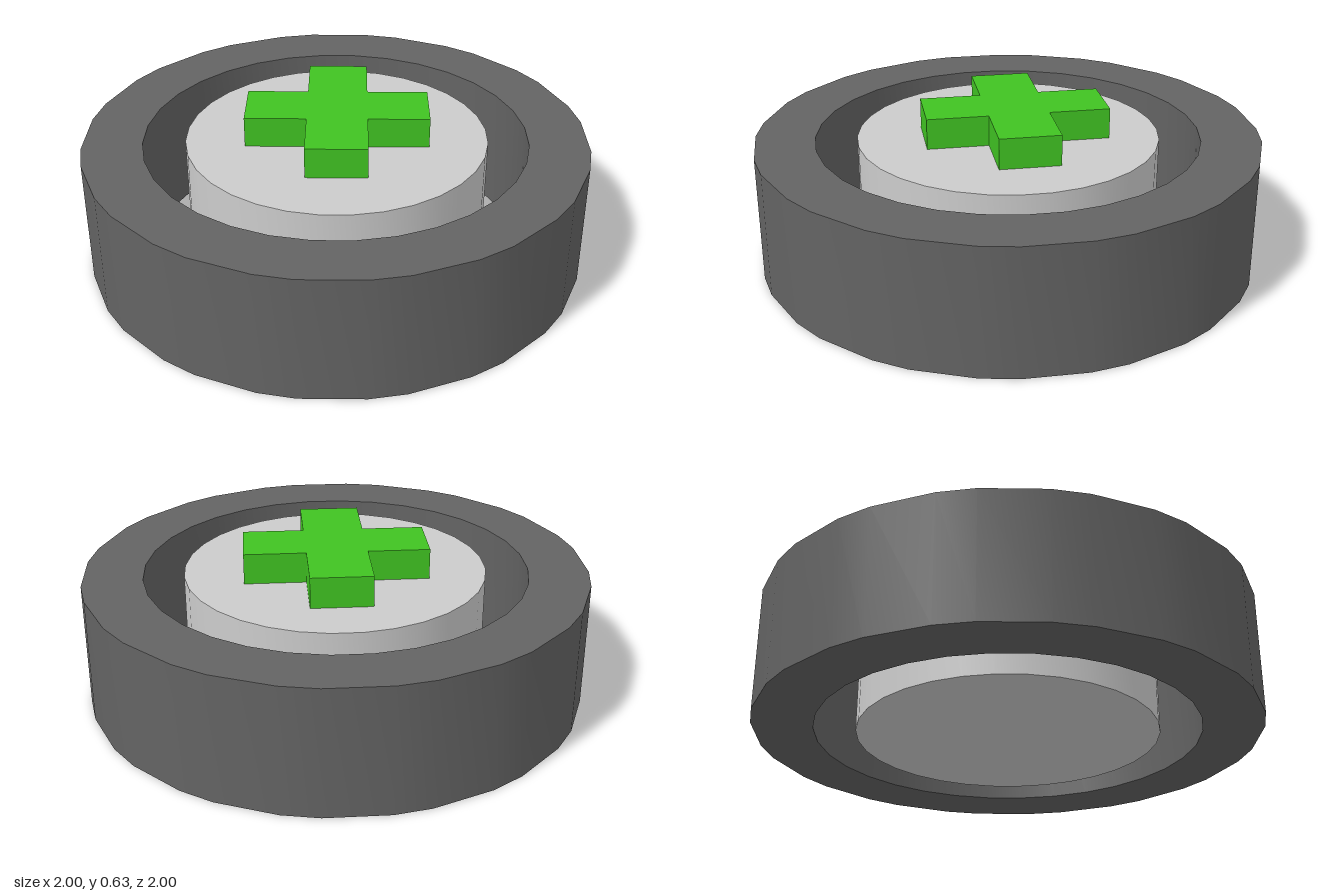
import * as THREE from 'three';
import { toCreasedNormals } from 'three/addons/utils/BufferGeometryUtils.js';

const HEIGHT = 0.508;

// Points on a circle at the given angles (degrees)
const ringPoints = (radius, angles, cx = 0) => angles.map((a) => {
  const t = THREE.MathUtils.degToRad(a);
  return new THREE.Vector2(cx + radius * Math.cos(t), radius * Math.sin(t));
});

// Upright prism from a plan outline (shape y points to -z), smooth round the sides
function prism(name, shape, y, height, color) {
  const geometry = new THREE.ExtrudeGeometry(shape, { depth: height, bevelEnabled: false });
  geometry.rotateX(-Math.PI / 2);
  const mesh = new THREE.Mesh(
    toCreasedNormals(geometry, Math.PI / 6),
    new THREE.MeshStandardMaterial({ color })
  );
  mesh.name = name;
  mesh.position.y = y;
  return mesh;
}

export function createModel() {
  const group = new THREE.Group();
  group.name = 'healthPad';

  const even = Array.from({ length: 32 }, (_, i) => (i + 0.5) * 11.25);
  // Outer wall alternates wide and narrow facets
  const alternating = Array.from({ length: 16 }, (_, i) => [i * 22.5 - 7.1, i * 22.5 + 7.1]).flat();

  // Dark open ring
  const ring = new THREE.Shape(ringPoints(1 / Math.cos(THREE.MathUtils.degToRad(7.1)), alternating));
  ring.holes.push(new THREE.Path(ringPoints(0.768, even)));
  group.add(prism('outerRing', ring, 0, HEIGHT, 0x636363));

  // Grey disc standing free inside the ring
  const disc = new THREE.Shape(ringPoints(0.603, even, 0.004));
  group.add(prism('innerDisc', disc, 0, HEIGHT, 0xcccccc));

  // Green plus on top of the disc
  const a = 0.12, b = 0.363;
  const plus = new THREE.Shape([
    [a, -b], [a, -a], [b, -a], [b, a], [a, a], [a, b],
    [-a, b], [-a, a], [-b, a], [-b, -a], [-a, -a], [-a, -b],
  ].map(([x, y]) => new THREE.Vector2(x + 0.006, y + 0.024)));
  group.add(prism('plusSign', plus, HEIGHT, 0.123, 0x40c322));

  return group;
}
